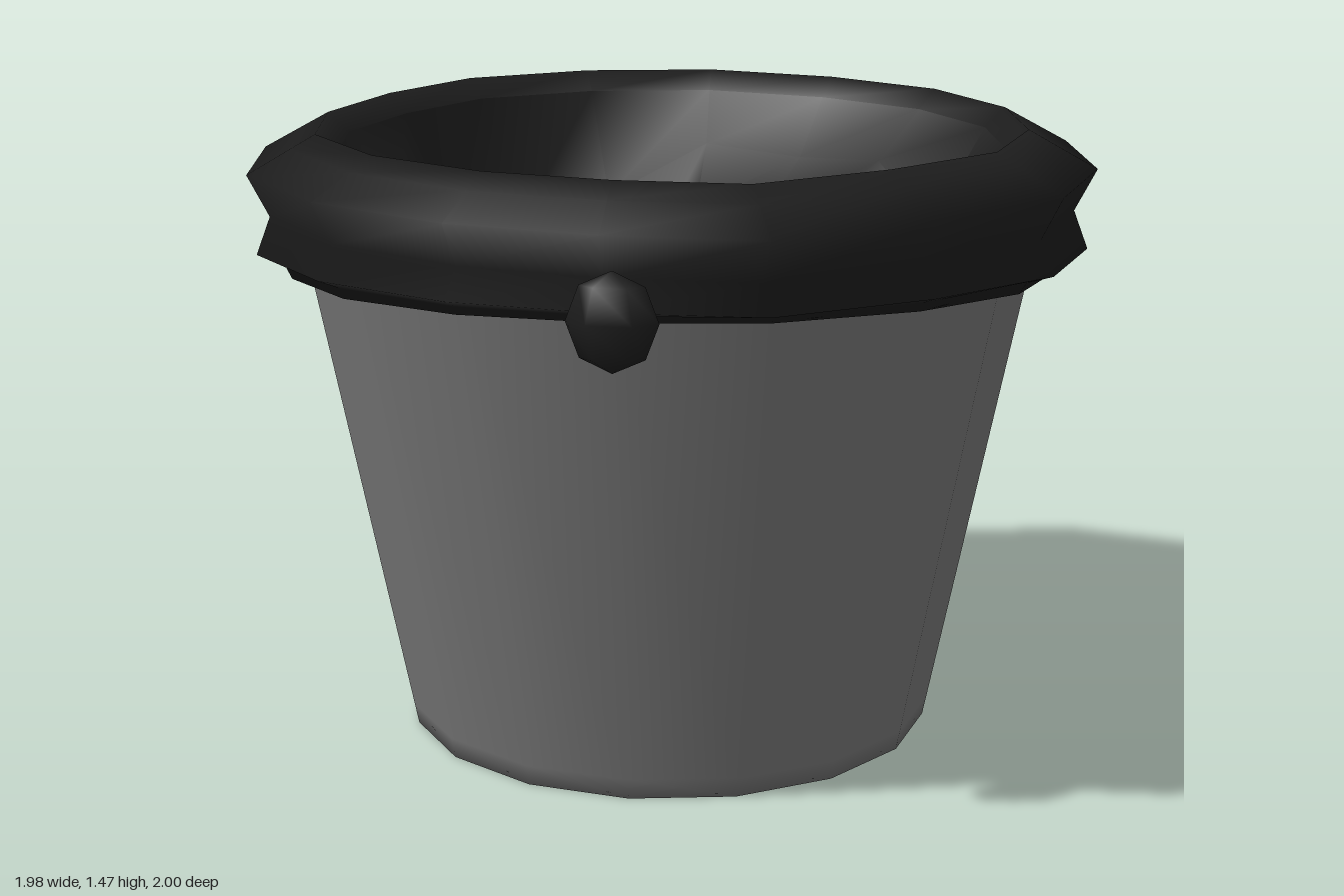
import * as THREE from 'three';
import { toCreasedNormals } from 'three/addons/utils/BufferGeometryUtils.js';

const SIDES = 16;
// Uneven outline of the bag at its widest, as [x, z], starting at +x and turning towards +z
const OUTLINE = [
  [0.985, 0.03], [0.91, 0.42], [0.69, 0.75], [0.37, 0.965], [-0.03, 0.995], [-0.44, 0.945], [-0.69, 0.69], [-0.885, 0.39],
  [-0.99, 0.02], [-0.945, -0.36], [-0.72, -0.68], [-0.39, -0.885], [-0.03, -1], [0.36, -0.92], [0.69, -0.7], [0.895, -0.35],
];
// Height of the inner folds per side: 0 is a valley, 1 a ridge
const FOLDS = [0.95, 0.4, 0.85, 0.8, 0.8, 0.75, 1, 0.3, 0.95, 0.8, 0.95, 0.3, 0, 0.3, 0.95, 0.85];

const angle = (k) => (k / SIDES) * Math.PI * 2;

// Skin a list of rings, each a function of the side index that returns [x, y, z]
function skin(rings) {
  const pos = [], index = [];
  rings.forEach((ring, j) => {
    for (let k = 0; k < SIDES; k++) {
      pos.push(...ring(k));
      if (j === rings.length - 1) continue;
      const n = (k + 1) % SIDES;
      const a = j * SIDES + k, b = a + SIDES, c = j * SIDES + n, d = c + SIDES;
      index.push(a, b, c, b, d, c);
    }
  });
  const geo = new THREE.BufferGeometry();
  geo.setAttribute('position', new THREE.Float32BufferAttribute(pos, 3));
  geo.setIndex(index);
  geo.computeVertexNormals();
  return geo;
}

// Outer ring: radius, height, tilt towards the back left, share of the uneven outline
function outerRing([r, y, tilt, share]) {
  return (k) => {
    const t = angle(k);
    const lean = Math.cos(t - angle(13.6));
    const x = THREE.MathUtils.lerp(r * Math.cos(t) - 0.015, r * OUTLINE[k][0], share);
    const z = THREE.MathUtils.lerp(r * Math.sin(t) + 0.03, r * OUTLINE[k][1], share);
    return [x, y - tilt * lean, z];
  };
}

// Inner ring: radius, valley height, ridge height
function innerRing([r, low, high]) {
  return (k) => {
    const t = angle(k);
    return [r * Math.cos(t) - 0.01, low + (high - low) * FOLDS[k], r * Math.sin(t) + 0.05 * (1 - r)];
  };
}

export function createModel() {
  const group = new THREE.Group();
  const binGrey = new THREE.MeshStandardMaterial({ color: 0x777777 });
  binGrey.name = 'binGrey';
  const bagBlack = new THREE.MeshStandardMaterial({ color: 0x1c1c1c, side: THREE.DoubleSide });
  bagBlack.name = 'bagBlack';

  const add = (name, geo, mat) => {
    const mesh = new THREE.Mesh(geo, mat);
    mesh.name = name;
    group.add(mesh);
    return mesh;
  };

  // Tapered bin with a closed base
  const profile = [[0, 0], [0.635, 0], [0.645, 0.05], [0.878, 1.22]].map((p) => new THREE.Vector2(...p));
  add('bin', new THREE.LatheGeometry(profile, SIDES), binGrey).position.set(-0.02, 0, 0.03);

  // Bag folded over the rim: hem, lower roll and upper roll
  const outer = [
    [0.83, 1.095, 0.09, 0],
    [0.91, 1.115, 0.07, 0.2],
    [0.925, 1.155, 0.045, 0.4],
    [0.985, 1.185, 0.03, 0.8],
    [0.95, 1.28, 0, 1],
    [1, 1.38, 0, 1],
    [0.9, 1.435, 0, 1],
    [0.84, 1.468, 0, 1],
    [0.79, 1.42, 0, 1],
  ];
  add('bagRim', skin(outer.map(outerRing)), bagBlack);

  // Creased inside of the bag, sinking to the middle
  const inner = [
    [0.66, 1.1, 1.31],
    [0.42, 0.88, 1.2],
    [0.2, 0.74, 1.12],
    [0.08, 0.68, 0.98],
    [0, 0.66, 0.66],
  ];
  const lining = skin([outerRing(outer[outer.length - 1]), ...inner.map(innerRing)]);
  add('bagLining', toCreasedNormals(lining, 0.85), bagBlack);

  // Knot tied on the side of the bag
  const knot = add('knot', new THREE.SphereGeometry(1, 6, 4), bagBlack);
  knot.scale.set(0.1, 0.11, 0.045);
  knot.rotation.y = -0.8;
  knot.position.set(-0.68, 1.2, 0.72);

  return group;
}
